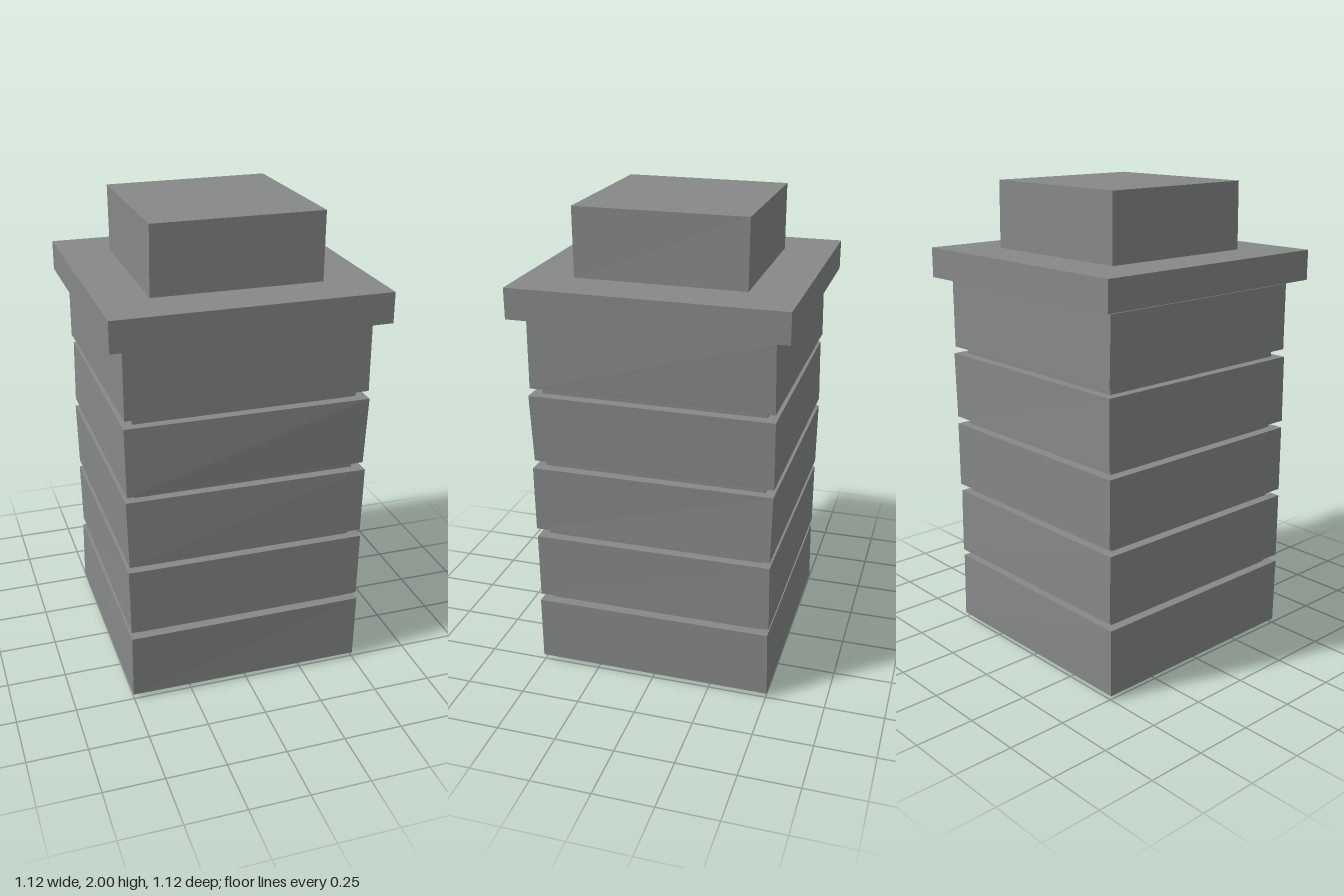
import * as THREE from 'three';

export function createModel() {
  const group = new THREE.Group();
  const stone = new THREE.MeshStandardMaterial({ color: 0x868988, flatShading: true });
  stone.name = 'grey stone';

  // Small seeded generator for the uneven block corners
  let seed = 7;
  const rand = () => {
    seed = (seed * 16807) % 2147483647;
    return seed / 2147483647;
  };

  // Square slab from y0 to y1; each shared corner is shifted by up to `wobble`
  function slab(name, width, y0, y1, wobble = 0) {
    const box = new THREE.BoxGeometry(width, y1 - y0, width);
    const pos = box.attributes.position;
    const shifts = {};
    for (let i = 0; i < pos.count; i++) {
      const p = new THREE.Vector3().fromBufferAttribute(pos, i);
      const key = p.toArray().map(Math.sign).join();
      shifts[key] ??= [rand(), rand() * 0.5, rand()].map((r, k) => (r - (k === 1 ? 0.25 : 0.5)) * 2 * wobble);
      const [dx, dy, dz] = shifts[key];
      pos.setXYZ(i, p.x + dx, p.y + dy, p.z + dz);
    }
    const geometry = box.toNonIndexed();
    geometry.computeVertexNormals();
    const mesh = new THREE.Mesh(geometry, stone);
    mesh.name = name;
    mesh.position.y = (y0 + y1) / 2;
    group.add(mesh);
  }

  // Recessed core showing in the joints
  slab('core', 0.926, 0, 1.6);

  // Five slightly uneven courses
  for (let i = 0; i < 5; i++) {
    const y = 0.021 + i * 0.317;
    slab('course' + (i + 1), 1.005, y, y + 0.284, 0.005);
  }

  // Overhanging cap and the block on top
  slab('cap', 1.12, 1.59, 1.716);
  slab('topBlock', 0.7, 1.714, 1.998, 0.004);

  return group;
}
